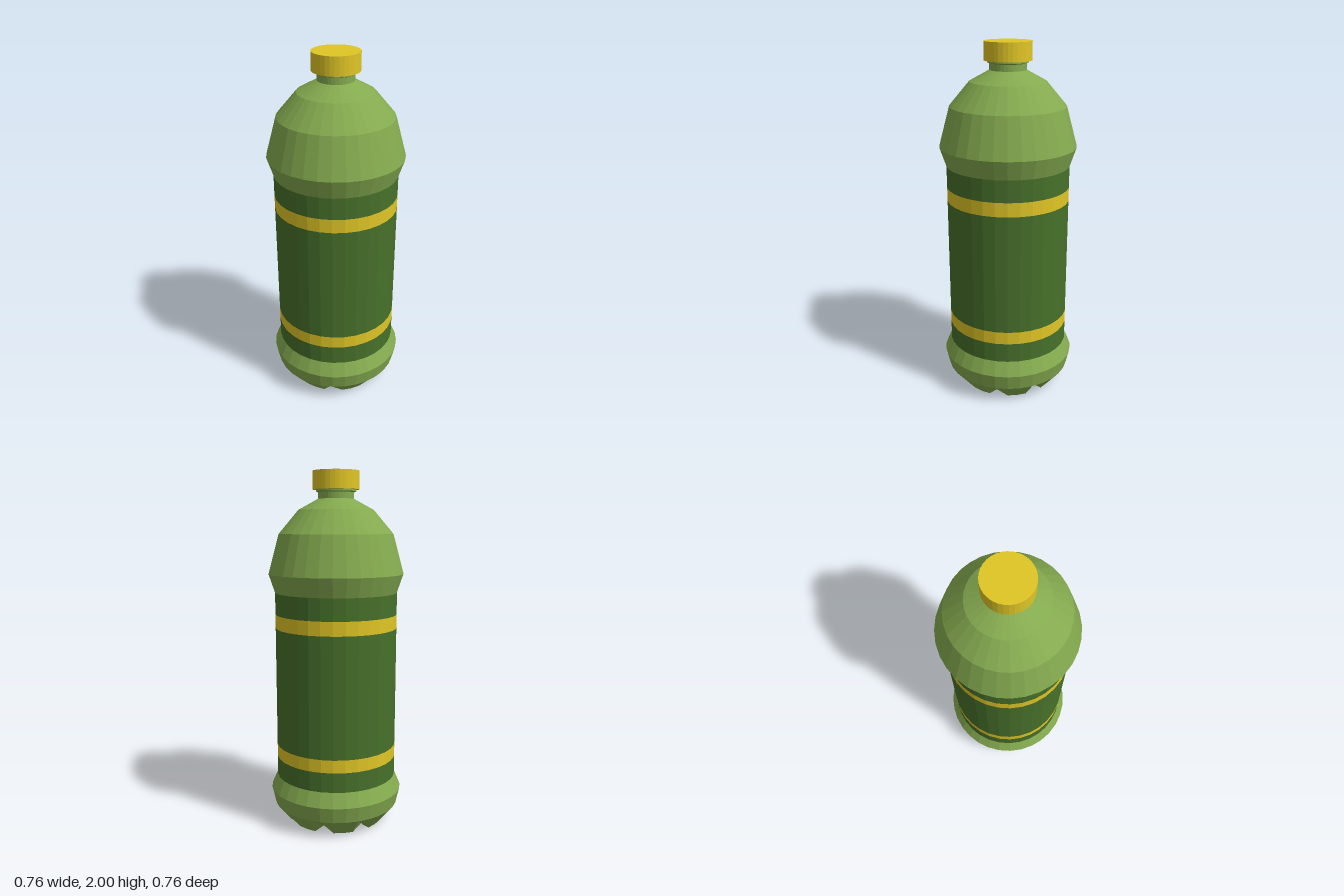
import * as THREE from 'three';

const SIDES = 32;

const paint = (name, color) => {
  const m = new THREE.MeshStandardMaterial({ color });
  m.name = name;
  return m;
};

// Faceted solid of revolution; profile is [radius, height] from bottom to top.
// reshape(row, side, y) may return a new height for a vertex.
function turned(name, profile, material, reshape) {
  const lathe = new THREE.LatheGeometry(profile.map(([r, y]) => new THREE.Vector2(r, y)), SIDES);
  if (reshape) {
    const pos = lathe.attributes.position;
    for (let i = 0; i < pos.count; i++) {
      const row = i % profile.length;
      const side = Math.floor(i / profile.length) % SIDES;
      pos.setY(i, reshape(row, side, pos.getY(i)));
    }
  }
  const geometry = lathe.toNonIndexed();
  geometry.computeVertexNormals();
  const mesh = new THREE.Mesh(geometry, material);
  mesh.name = name;
  return mesh;
}

export function createModel() {
  const bottle = new THREE.Group();
  bottle.name = 'bottle';

  const green = paint('bottle green', 0x84aa4f);
  const dark = paint('label green', 0x47702a);
  const gold = paint('gold', 0xe0c626);

  // Base: recessed disc inside a ring of eight feet parted by notches
  const notch = 0.045;
  const base = [[0, notch], [0.19, notch], [0.235, 0], [0.278, 0], [0.36, 0.1]];
  bottle.add(turned('footedBase', base, green, (row, side, y) =>
    (row === 2 || row === 3) && side % 4 === 0 ? notch : y));

  // Lower bulge
  bottle.add(turned('lowerBulge', [[0.36, 0.1], [0.38, 0.19], [0.345, 0.27]], green));

  // Label with two gold stripes
  const bands = [0.27, 0.382, 0.455, 1.135, 1.213, 1.335];
  for (let i = 0; i < bands.length - 1; i++) {
    const stripe = i % 2 === 1;
    bottle.add(turned(stripe ? 'labelStripe' : 'labelBand',
      [[0.345, bands[i]], [0.345, bands[i + 1]]], stripe ? gold : dark));
  }

  // Shoulder and neck
  bottle.add(turned('shoulder',
    [[0.345, 1.335], [0.38, 1.44], [0.32, 1.66], [0.21, 1.79], [0.1, 1.85]], green));
  bottle.add(turned('neck',
    [[0.1, 1.85], [0.1, 1.885], [0.112, 1.89], [0.112, 1.902]], green));

  // Cap
  bottle.add(turned('cap', [[0, 1.9], [0.13, 1.9], [0.13, 2], [0, 2]], gold));

  return bottle;
}
